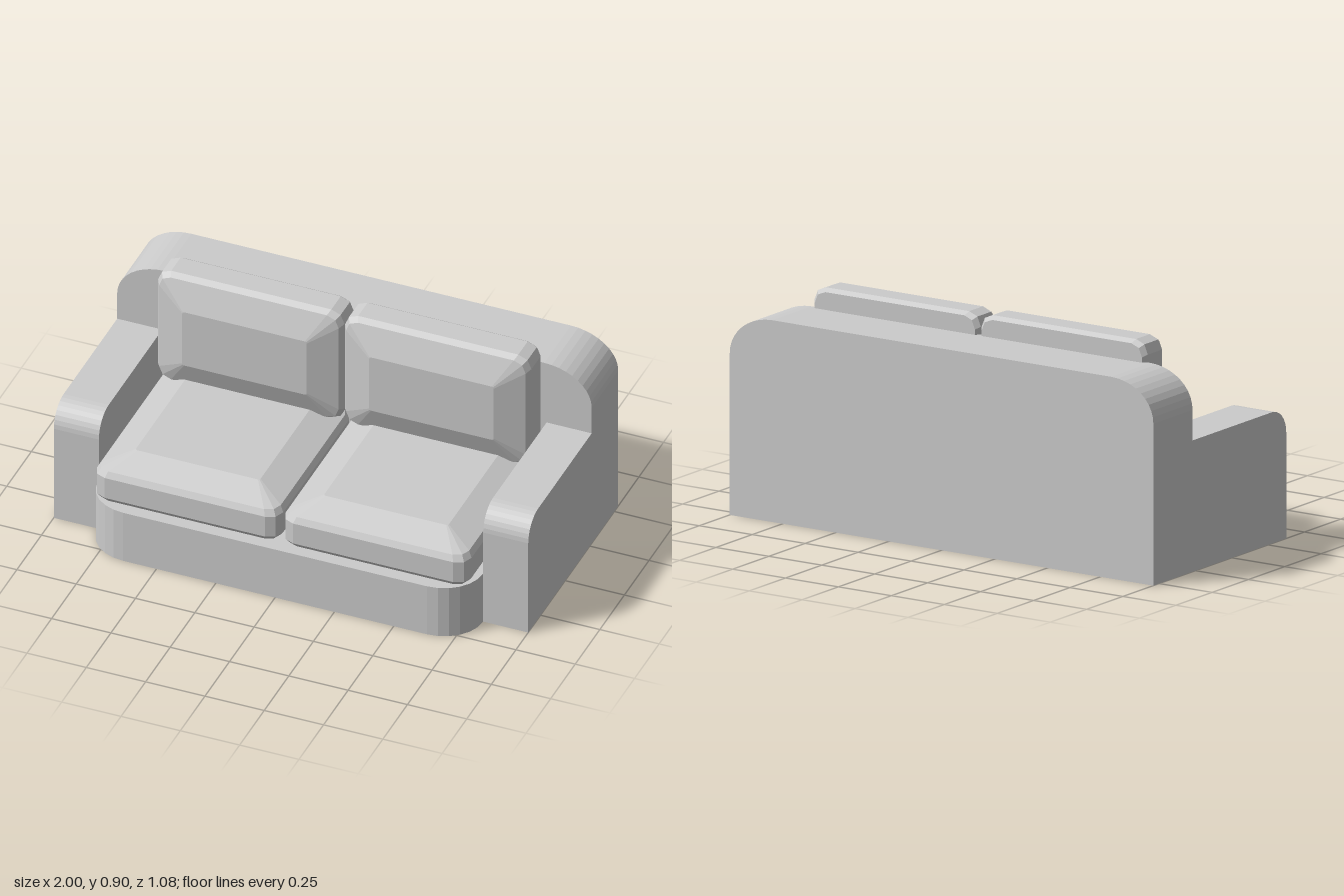
import * as THREE from 'three';

const material = new THREE.MeshStandardMaterial({ color: 0xcccccc, flatShading: true });

function addMesh(parent, name, geometry) {
  const mesh = new THREE.Mesh(geometry, material);
  mesh.name = name;
  parent.add(mesh);
  return mesh;
}

function prism(shape, depth, curveSegments) {
  return new THREE.ExtrudeGeometry(shape, { depth, curveSegments, bevelEnabled: false });
}

// Rectangle whose two top corners are elliptical; rl or rr of 0 leaves a square corner.
function roundedTop(x0, x1, y0, y1, rl, rr, ry) {
  const s = new THREE.Shape();
  s.moveTo(x0, y0);
  s.lineTo(x1, y0);
  if (rr) {
    s.lineTo(x1, y1 - ry);
    s.absellipse(x1 - rr, y1 - ry, rr, ry, 0, Math.PI / 2, false);
  } else s.lineTo(x1, y1);
  if (rl) {
    s.lineTo(x0 + rl, y1);
    s.absellipse(x0 + rl, y1 - ry, rl, ry, Math.PI / 2, Math.PI, false);
  } else s.lineTo(x0, y1);
  s.closePath();
  return s;
}

// Puffy cushion: stacked rounded rectangles in xy, bulging towards +z.
function cushion(width, height) {
  // inset, level, corner radius
  const rings = [
    [0.014, 0, 0.05], [0, 0.02, 0.055], [0, 0.115, 0.055],
    [0.014, 0.14, 0.05], [0.13, 0.185, 0.008],
  ];
  const steps = 2;
  const n = 4 * (steps + 1);
  const pos = [];
  const index = [];
  for (const [inset, z, r] of rings) {
    const hx = width / 2 - inset - r;
    const hy = height / 2 - inset - r;
    for (let c = 0; c < 4; c++) {
      const sx = c === 0 || c === 3 ? 1 : -1;
      const sy = c < 2 ? 1 : -1;
      for (let k = 0; k <= steps; k++) {
        const a = (c + k / steps) * Math.PI / 2;
        pos.push(sx * hx + r * Math.cos(a), sy * hy + r * Math.sin(a), z);
      }
    }
  }
  const last = (rings.length - 1) * n;
  const bottom = rings.length * n;
  pos.push(0, 0, 0, 0, 0, rings[rings.length - 1][1]);
  for (let j = 0; j < n; j++) {
    const k = (j + 1) % n;
    for (let i = 0; i < last; i += n) {
      index.push(i + j, i + k, i + n + k, i + j, i + n + k, i + n + j);
    }
    index.push(bottom, k, j, bottom + 1, last + j, last + k);
  }
  const g = new THREE.BufferGeometry();
  g.setAttribute('position', new THREE.Float32BufferAttribute(pos, 3));
  g.setIndex(index);
  const flat = g.toNonIndexed();
  flat.computeVertexNormals();
  return flat;
}

export function createModel() {
  const sofa = new THREE.Group();
  sofa.name = 'sofa';

  // Backrest with rounded top corners
  addMesh(sofa, 'backrest',
    prism(roundedTop(-1, 1, 0, 0.81, 0.2, 0.2, 0.16), 0.27, 5).translate(0, 0, -0.54));

  // Base with rounded front corners
  addMesh(sofa, 'base',
    prism(roundedTop(-0.81, 0.81, -0.27, 0.537, 0.17, 0.17, 0.16), 0.23, 3)
      .rotateX(Math.PI / 2).translate(0, 0.23, 0));

  // Arms rounded at the top front, and one seat and back cushion per side
  const armShape = roundedTop(-0.27, 0.375, 0, 0.527, 0, 0.1, 0.1);
  for (const side of [1, -1]) {
    const label = side > 0 ? 'left' : 'right';
    addMesh(sofa, label + 'Arm',
      prism(armShape, 0.19, 4).rotateY(-Math.PI / 2).translate(side > 0 ? 1 : -0.81, 0, 0));
    addMesh(sofa, label + 'SeatCushion', cushion(0.785, 0.78).rotateX(-Math.PI / 2))
      .position.set(side * 0.397, 0.23, 0.108);
    addMesh(sofa, label + 'BackCushion', cushion(0.785, 0.515))
      .position.set(side * 0.394, 0.638, -0.287);
  }
  return sofa;
}
